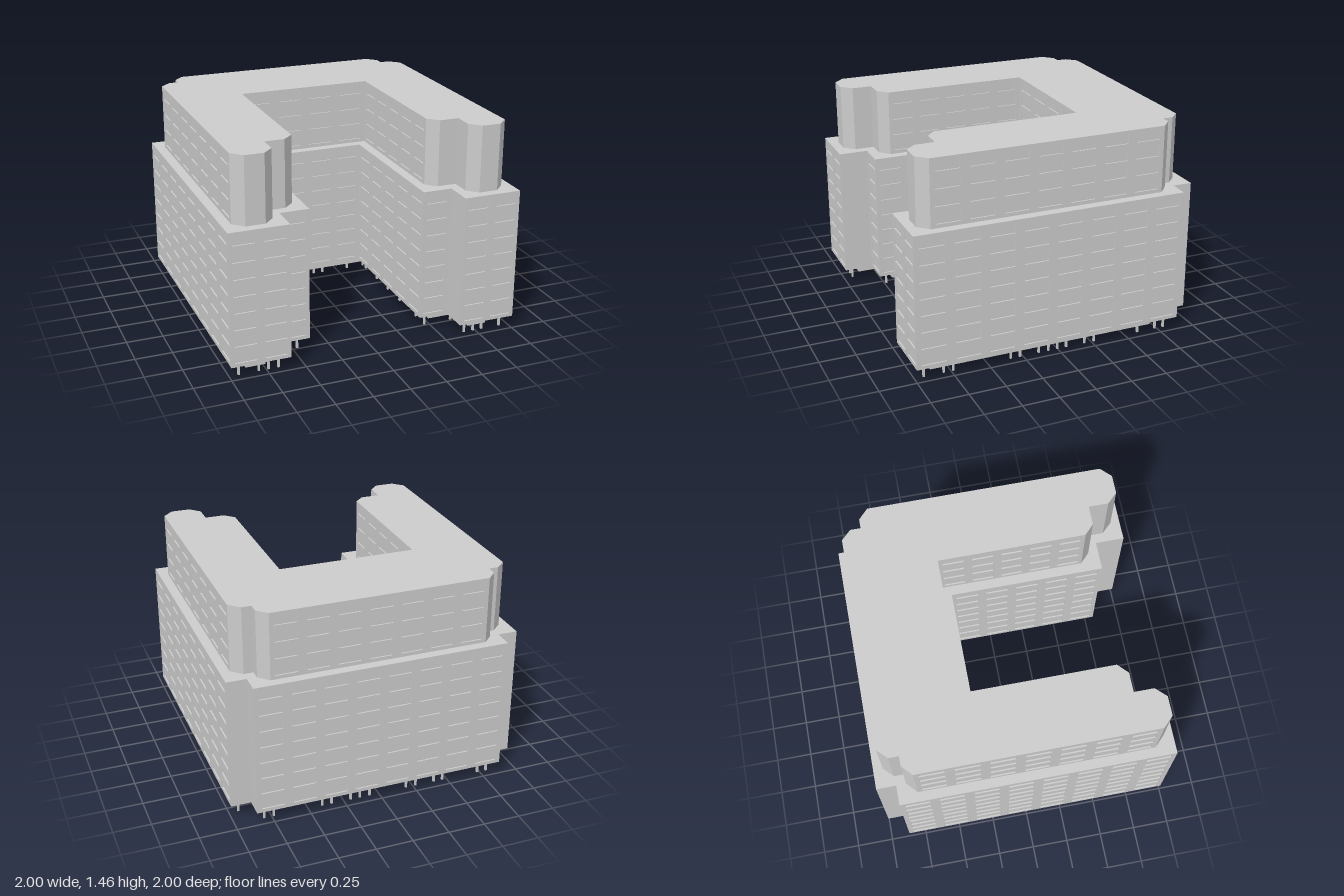
import * as THREE from 'three';

const material = new THREE.MeshStandardMaterial({ color: 0xcccccc, flatShading: true });
const RECESS = 0.01;    // depth of the window openings
const FLOOR = 0.1138;   // storey height
const SOFFIT = 0.09, SETBACK = 1.0, ROOF = 1.455;

// Complete a half outline [x, z] by mirroring it across x = 0
const mirrored = (half) => [...half, ...half.map(([x, z]) => [-x, z]).reverse()];

// Outward normal of the edge a -> b
function outward(a, b) {
  const dx = b[0] - a[0], dz = b[1] - a[1], l = Math.hypot(dx, dz);
  return [dz / l, -dx / l];
}

// Move every edge of an outline inwards by d
function inset(points, d) {
  const n = points.length;
  return points.map((p, i) => {
    const u = outward(points[(i + n - 1) % n], p);
    const v = outward(p, points[(i + 1) % n]);
    const k = d / (1 + u[0] * v[0] + u[1] * v[1]);
    return [p[0] - k * (u[0] + v[0]), p[1] - k * (u[1] + v[1])];
  });
}

// Solid prism over an outline
function prism(name, points, y0, y1) {
  const shape = new THREE.Shape(points.map(([x, z]) => new THREE.Vector2(x, -z)));
  const geometry = new THREE.ExtrudeGeometry(shape, { depth: y1 - y0, bevelEnabled: false });
  geometry.rotateX(-Math.PI / 2);
  const mesh = new THREE.Mesh(geometry, material);
  mesh.name = name;
  mesh.position.y = y0;
  return mesh;
}

// Wall panel with a grid of window openings
function wallPanel(a, b, y0, y1, hasWindows) {
  const length = Math.hypot(b[0] - a[0], b[1] - a[1]), height = y1 - y0;
  const shape = new THREE.Shape([
    new THREE.Vector2(0, 0), new THREE.Vector2(length, 0),
    new THREE.Vector2(length, height), new THREE.Vector2(0, height),
  ]);
  if (hasWindows) {
    const columns = Math.max(1, Math.round(length / 0.22));
    const rows = Math.round(height / FLOOR);
    const w = length / columns, h = height / rows;
    for (let c = 0; c < columns; c++) {
      for (let r = 0; r < rows; r++) {
        const x0 = (c + 0.14) * w, x1 = (c + 0.86) * w;
        const b0 = (r + 0.22) * h, b1 = (r + 0.82) * h;
        shape.holes.push(new THREE.Path([
          new THREE.Vector2(x0, b0), new THREE.Vector2(x0, b1),
          new THREE.Vector2(x1, b1), new THREE.Vector2(x1, b0),
        ]));
      }
    }
  }
  const geometry = new THREE.ExtrudeGeometry(shape, { depth: RECESS, bevelEnabled: false });
  const mesh = new THREE.Mesh(geometry, material);
  const [nx, nz] = outward(a, b);
  mesh.name = hasWindows ? 'windowWall' : 'plainWall';
  mesh.position.set(b[0] - nx * RECESS, y0, b[1] - nz * RECESS);
  mesh.rotation.y = Math.atan2(nx, nz);
  return mesh;
}

// One block of storeys: inner core, floor and roof slabs, outer walls
function storeys(name, points, y0, y1, hasWindows) {
  const group = new THREE.Group();
  group.name = name;
  group.add(prism('core', inset(points, RECESS), y0, y1 - 0.001));
  group.add(prism('floorSlab', points, y0, y0 + 0.01));
  group.add(prism('roofSlab', points, y1 - 0.01, y1));
  points.forEach((a, i) => {
    const b = points[(i + 1) % points.length];
    group.add(wallPanel(a, b, y0, y1, hasWindows(a, b)));
  });
  return group;
}

export function createModel() {
  const model = new THREE.Group();
  model.name = 'apartmentBlock';

  // U-shaped outlines, from the back round to the courtyard
  const lower = mirrored([
    [0.865, -1], [0.865, -0.867], [1, -0.867], [1, 1],
    [0.6, 1], [0.6, 0.8], [0.4, 0.8], [0.4, -0.27],
  ]);
  const upper = mirrored([
    [0.735, -0.935], [0.8, -0.87], [0.8, -0.8], [0.865, -0.8], [0.935, -0.735],
    [0.935, 0.865], [0.865, 0.935], [0.735, 0.935], [0.667, 0.865], [0.667, 0.73],
    [0.535, 0.73], [0.467, 0.665], [0.467, -0.335],
  ]);

  const span = (a, b) => Math.hypot(b[0] - a[0], b[1] - a[1]);
  model.add(storeys('lowerStoreys', lower, SOFFIT, SETBACK, (a, b) =>
    span(a, b) > 0.3 || (span(a, b) > 0.18 && a[1] === b[1])));
  model.add(storeys('upperStoreys', upper, SETBACK, ROOF, (a, b) => span(a, b) > 0.5));

  // Set-back ground floor
  model.add(prism('groundFloor', inset(lower, 0.132), 0, SOFFIT));

  // Slender columns under the overhang
  const columns = new THREE.Group();
  columns.name = 'columns';
  const columnGeometry = new THREE.BoxGeometry(0.014, SOFFIT, 0.014);
  const column = (x, z) => {
    const mesh = new THREE.Mesh(columnGeometry, material);
    mesh.name = 'column';
    mesh.position.set(x, SOFFIT / 2, z);
    columns.add(mesh);
  };
  for (const s of [-1, 1]) {
    for (const z of [0.935, 0.8, 0.735, 0.335, 0.27, 0.135, 0.065, 0, -0.065, -0.2, -0.27, -0.6, -0.735, -0.8])
      column(s * 0.935, z);
    for (const z of [0.735, 0.6, 0.335, 0.135, -0.065, -0.27]) column(s * 0.467, z);
    for (const x of [0.8, 0.735, 0.667]) column(s * x, 0.935);
    column(s * 0.667, 0.735);
    column(s * 0.8, -0.8);
  }
  for (const x of [-0.8, -0.735, -0.47, -0.405, -0.27, -0.2, 0.065, 0.135, 0.2, 0.335, 0.4, 0.735, 0.8])
    column(x, -0.935);
  for (const x of [-0.467, -0.27, -0.2, 0.065, 0.135, 0.335, 0.467]) column(x, -0.335);
  model.add(columns);

  return model;
}
